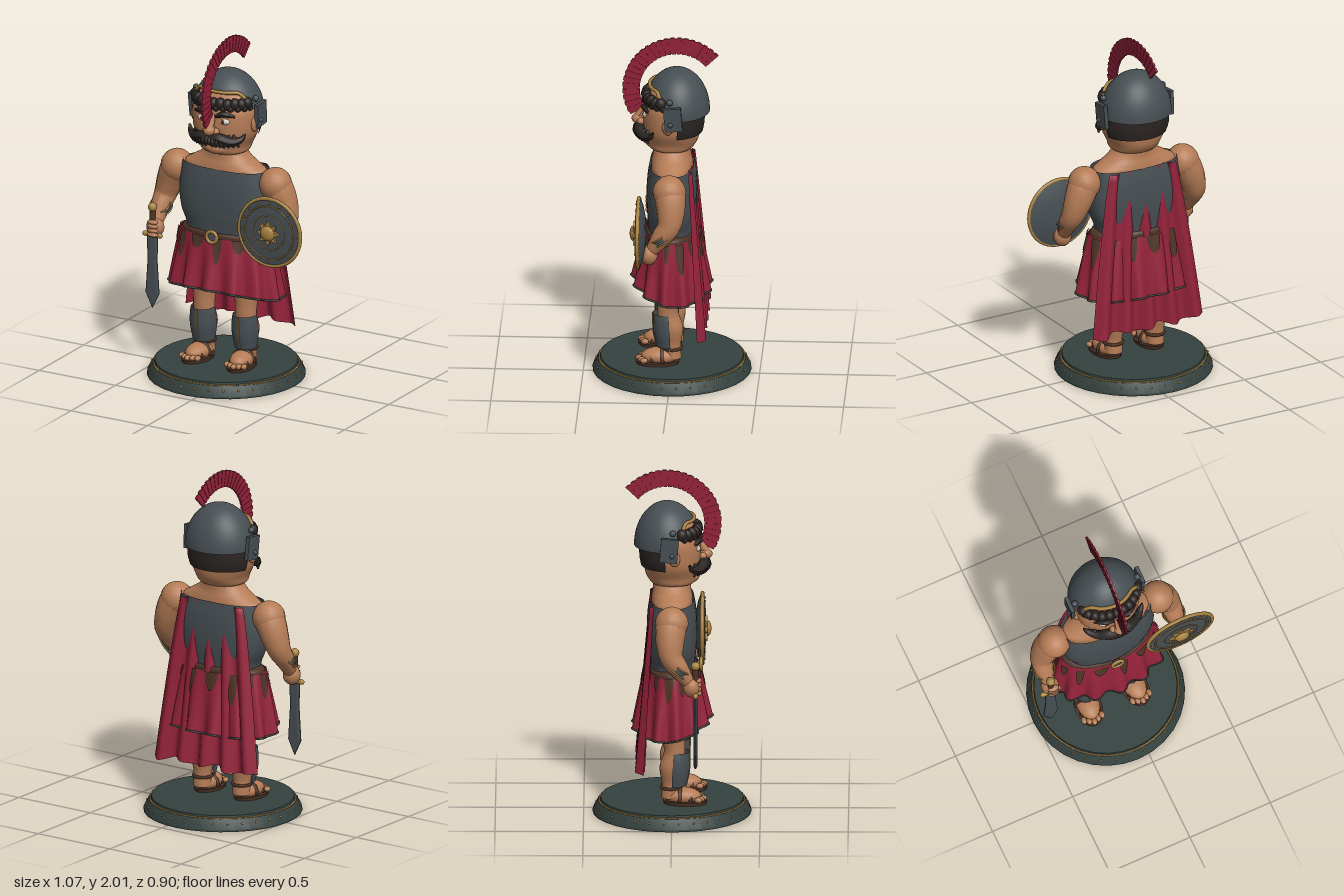
import * as THREE from 'three';
import { toCreasedNormals } from 'three/addons/utils/BufferGeometryUtils.js';
import { ParametricGeometry } from 'three/addons/geometries/ParametricGeometry.js';

const mat = (color) => new THREE.MeshStandardMaterial({ color, side: THREE.DoubleSide });
const skin = mat(0xb57c56), steel = mat(0x474f53), bronzeGreen = mat(0x35423f), red = mat(0x94223a),
  gold = mat(0xa98342), brown = mat(0x4d3326), hair = mat(0x2b2523), white = mat(0xd8d0c4);
const { sin, cos, PI, abs, sign, pow } = Math;
const lerp = THREE.MathUtils.lerp, V = (x, y, z) => new THREE.Vector3(x, y, z);
const smooth = THREE.MathUtils.smoothstep;

function add(parent, name, geo, material, x = 0, y = 0, z = 0) {
  const m = new THREE.Mesh(geo, material);
  m.name = name;
  m.position.set(x, y, z);
  parent.add(m);
  return m;
}
function ball(parent, name, material, r, x, y, z, sx = 1, sy = 1, sz = 1) {
  const m = add(parent, name, new THREE.SphereGeometry(r, 16, 12), material, x, y, z);
  m.scale.set(sx, sy, sz);
  return m;
}
const surface = (f, nu, nv) => new ParametricGeometry((u, v, t) => t.copy(f(u, v)), nu, nv);

// Upright loft through rings [y, halfWidth, halfDepth, zCentre]; angle 0 faces the front
function loft(rings, { a0 = -PI, a1 = PI, power = 2, nu = 40, nv = 28 } = {}) {
  const shape = new THREE.CatmullRomCurve3(rings.map((r) => V(r[1], r[0], r[2])));
  const shift = new THREE.CatmullRomCurve3(rings.map((r) => V(r[3] || 0, r[0], 0)));
  const bend = (c) => sign(c) * pow(abs(c), 2 / power);
  return surface((u, v) => {
    const a = lerp(a0, a1, u), p = shape.getPoint(v);
    return V(p.x * bend(sin(a)), p.y, p.z * bend(cos(a)) + shift.getPoint(v).x);
  }, nu, nv);
}
// Tube of changing radius through [x, y, z, r]
function limb(pts, seg = 28, sides = 16) {
  const curve = new THREE.CatmullRomCurve3(pts.map((p) => V(p[0], p[1], p[2])));
  const radii = new THREE.CatmullRomCurve3(pts.map((p) => V(p[3], 0, 0)));
  const geo = new THREE.TubeGeometry(curve, seg, 1, sides);
  const pos = geo.attributes.position, q = V();
  for (let i = 0; i < pos.count; i++) {
    const t = Math.floor(i / (sides + 1)) / seg, c = curve.getPointAt(t);
    q.fromBufferAttribute(pos, i).sub(c).multiplyScalar(radii.getPoint(curve.getUtoTmapping(t)).x).add(c);
    pos.setXYZ(i, q.x, q.y, q.z);
  }
  geo.computeVertexNormals();
  return geo;
}
const lathe = (pts, n) => toCreasedNormals(new THREE.LatheGeometry(pts.map((p) => new THREE.Vector2(...p)), n), 0.5);
const wire = (pts, r, closed = false) => new THREE.TubeGeometry(new THREE.CatmullRomCurve3(pts, closed), pts.length * 3, r, 6, closed);
const range = (n, f) => Array.from({ length: n }, (_, i) => f(i));

function buildBase(g) {
  add(g, 'base', lathe([[0, 0], [0.45, 0], [0.45, 0.012], [0.42, 0.068], [0.408, 0.072], [0.406, 0.085], [0, 0.085]], 32), bronzeGreen);
  add(g, 'baseTrim', new THREE.TorusGeometry(0.413, 0.005, 6, 64), gold, 0, 0.07, 0).rotation.x = PI / 2;
  for (let i = 0; i < 32; i++) {
    const a = (i + 0.5) * PI / 16;
    ball(g, 'baseRivet', gold, 0.006, 0.433 * sin(a), 0.042, 0.433 * cos(a));
  }
}

function buildLeg(g, s) {
  const leg = new THREE.Group();
  leg.name = s > 0 ? 'leftLeg' : 'rightLeg';
  leg.position.x = s * 0.137;
  g.add(leg);
  add(leg, 'legSkin', loft([[0.12, 0.052, 0.05, -0.01], [0.2, 0.052, 0.052, -0.005], [0.3, 0.07, 0.07, 0.0], [0.39, 0.062, 0.06, 0.015],
    [0.46, 0.066, 0.066, 0.01], [0.58, 0.085, 0.085, 0], [0.75, 0.1, 0.1, 0]], { nu: 24 }), skin);
  const greave = [[0.19, 0.064, 0.07, 0.012], [0.28, 0.078, 0.082, 0.018], [0.35, 0.076, 0.08, 0.022], [0.39, 0.068, 0.078, 0.025]];
  add(leg, 'greave', loft(greave, { a0: -1.75, a1: 1.75, nu: 24, nv: 12 }), steel);
  add(leg, 'greaveRidge', wire(greave.map((r) => V(0, r[0], r[2] + r[3])), 0.004), gold);
  // Sandalled foot
  const foot = new THREE.Group();
  foot.name = 'foot';
  foot.rotation.y = s * 0.08;
  leg.add(foot);
  const sole = add(foot, 'sole', new THREE.CylinderGeometry(0.078, 0.074, 0.02, 28), brown, 0, 0.096, 0.075);
  sole.scale.z = 1.62;
  ball(foot, 'instep', skin, 0.07, 0, 0.13, 0.06, 0.95, 0.7, 1.55);
  for (let i = -2; i <= 2; i++) ball(foot, 'toe', skin, 0.02, i * 0.027, 0.118, 0.178 - abs(i) * 0.012, 0.8, 0.8, 1.1);
  for (const [z, r] of [[0.05, 0.069], [0.11, 0.056]]) {
    const strap = add(foot, 'sandalStrap', new THREE.TorusGeometry(r, 0.008, 6, 20, PI), brown, 0, 0.11, z);
    strap.scale.set(1, z < 0.1 ? 1.05 : 0.95, 1.5);
  }
  add(foot, 'ankleStrap', new THREE.TorusGeometry(0.054, 0.009, 6, 24), brown, 0, 0.18, -0.007).rotation.x = PI / 2;
}

// Pleated skirt: v runs from the hem up to the waist
function skirtPoint(a, v, grow = 0) {
  const fold = 0.022 * (1 - v) * cos(13 * a + 0.7 * sin(2 * a));
  const pinch = v > 0.96 ? 0.75 : 1, w = pow(1 - v, 0.85);
  const hem = 0.53 + 0.028 * cos(a) - 0.03 * sin(a) ** 2 + fold * 0.3;
  return V((lerp(0.285, 0.345, w) + fold + grow) * pinch * sin(a), lerp(hem, 0.875, v),
    (lerp(0.15, 0.21, w) + fold + grow) * pinch * cos(a));
}
function buildTunic(g) {
  add(g, 'skirt', surface((u, v) => skirtPoint(u * 2 * PI, v), 156, 28), red);
  add(g, 'skirtHem', wire(range(104, (i) => skirtPoint(i * PI / 52, 0)), 0.006, true), bronzeGreen);
  // Belt with leather flaps of uneven length
  const waist = [[0.85, 0.275, 0.15], [0.868, 0.27, 0.15], [0.885, 0.235, 0.14]];
  add(g, 'belt', loft(waist, { nv: 6 }), brown);
  for (let i = 0; i < 14; i++) {
    const a = i * PI / 7 + 0.12, len = [0.45, 0.22, 0.36, 0.28][i % 4], half = [0.09, 0.15, 0.12][i % 3];
    add(g, 'beltFlap', surface((u, v) => skirtPoint(a + (2 * u - 1) * half * (1 - 0.75 * v * v), 0.95 - len * v, 0.007), 8, 8), brown);
  }
  add(g, 'buckle', new THREE.TorusGeometry(0.033, 0.01, 10, 28), gold, 0, 0.865, 0.165);
  const disc = add(g, 'buckleCentre', new THREE.CylinderGeometry(0.028, 0.028, 0.02, 20), steel, 0, 0.865, 0.155);
  disc.rotation.x = PI / 2;
  // Cape hanging from the shoulder blades
  add(g, 'cape', surface((u, v) => {
    const s = 2 * u - 1, d = 1 - v;
    return V(-s * lerp(0.215, 0.36, pow(d, 0.8)), lerp(0.3, 1.255, v) + 0.012 * d * sin(s * 9),
      -0.112 - 0.068 * d - (0.012 + 0.016 * d) * cos(s * 15));
  }, 80, 24), red);
}

function buildTorso(g) {
  add(g, 'cuirass', loft([[0.84, 0.235, 0.128], [0.9, 0.24, 0.132], [0.98, 0.272, 0.14], [1.08, 0.285, 0.143], [1.18, 0.276, 0.138],
    [1.26, 0.265, 0.125]], { power: 2.6 }), steel);
  add(g, 'shouldersAndNeck', loft([[1.2, 0.26, 0.115], [1.25, 0.262, 0.118], [1.28, 0.22, 0.115], [1.32, 0.155, 0.108],
    [1.36, 0.12, 0.108], [1.42, 0.12, 0.108]]), skin);
}

function buildArm(g, s) {
  const arm = new THREE.Group();
  arm.name = s > 0 ? 'leftArm' : 'rightArm';
  g.add(arm);
  ball(arm, 'shoulder', skin, 0.095, s * 0.322, 1.192, 0, 1, 1.02, 1);
  add(arm, 'armSkin', limb([[s * 0.28, 1.24, 0, 0.05], [s * 0.335, 1.17, -0.005, 0.088], [s * 0.372, 1.09, -0.01, 0.08], [s * 0.398, 1.01, 0.0, 0.066],
    [s * 0.405, 0.95, 0.04, 0.057], [s * 0.402, 0.89, 0.08, 0.043], [s * 0.4, 0.86, 0.1, 0.035]]), skin);
  ball(arm, 'fist', skin, 0.055, s * 0.4, 0.84, 0.112, 0.95, 1.05, 0.9);
  for (let i = 0; i < 4; i++) ball(arm, 'finger', skin, 0.018, s * 0.395, 0.805 + i * 0.025, 0.152, 1.9, 0.75, 1);
  const cuff = new THREE.Group();
  cuff.name = 'wristBand';
  cuff.position.set(s * 0.404, 0.945, 0.042);
  cuff.rotation.x = 0.65;
  arm.add(cuff);
  add(cuff, 'band', new THREE.CylinderGeometry(0.062, 0.06, 0.034, 24, 1, true), steel);
  for (const y of [-0.017, 0.017]) add(cuff, 'bandTrim', new THREE.TorusGeometry(0.061, 0.005, 6, 24), gold, 0, y).rotation.x = PI / 2;
}

function buildSword(g) {
  const sword = new THREE.Group();
  sword.name = 'sword';
  sword.position.set(-0.405, 0.8, 0.135);
  g.add(sword);
  const pts = [[-0.036, 0], [0.036, 0], [0.031, -0.15], [0.044, -0.35], [0, -0.44], [-0.044, -0.35], [-0.031, -0.15]];
  const blade = new THREE.ExtrudeGeometry(new THREE.Shape(pts.map((p) => new THREE.Vector2(...p))),
    { depth: 0.006, bevelThickness: 0.008, bevelSize: 0.012, bevelOffset: -0.012, bevelSegments: 1 });
  add(sword, 'blade', blade, steel, 0, 0, -0.003);
  add(sword, 'guard', new THREE.CapsuleGeometry(0.015, 0.1, 4, 12), gold).rotation.z = PI / 2;
  add(sword, 'grip', new THREE.CylinderGeometry(0.017, 0.017, 0.16, 12), brown, 0, 0.08, 0);
  ball(sword, 'pommel', gold, 0.026, 0, 0.165, 0);
}

function buildShield(g) {
  const shield = new THREE.Group();
  shield.name = 'shield';
  shield.position.set(0.385, 0.965, 0.165);
  shield.rotation.x = PI / 2;
  g.add(shield);
  add(shield, 'shieldPlate', lathe([[0.001, -0.038], [0.09, -0.033], [0.16, -0.018], [0.207, 0], [0.205, 0.012], [0.1, 0.02], [0.001, 0.024]], 48), steel);
  for (const [r, t, y] of [[0.2, 0.011, 0.006], [0.158, 0.004, 0.017], [0.102, 0.003, 0.021]])
    add(shield, 'shieldRing', new THREE.TorusGeometry(r, t, 8, 48), gold, 0, y).rotation.x = PI / 2;
  for (let i = 0; i < 16; i++) ball(shield, 'shieldRivet', gold, 0.006, 0.177 * sin(i * PI / 8), 0.018, 0.177 * cos(i * PI / 8));
  const star = range(16, (i) => new THREE.Vector2(sin(i * PI / 8), cos(i * PI / 8)).multiplyScalar(i % 2 ? 0.045 : 0.075));
  add(shield, 'shieldStar', new THREE.ExtrudeGeometry(new THREE.Shape(star), { depth: 0.012, bevelEnabled: false }), gold, 0, 0.034, 0).rotation.x = PI / 2;
  ball(shield, 'shieldBoss', gold, 0.045, 0, 0.034, 0, 1, 0.5, 1);
}

function buildHead(g) {
  const head = new THREE.Group();
  head.name = 'head';
  g.add(head);
  add(head, 'face', loft([[1.345, 0.09, 0.09, 0], [1.36, 0.138, 0.126, 0.005], [1.4, 0.152, 0.147, 0], [1.47, 0.185, 0.16, 0], [1.55, 0.195, 0.163, 0],
    [1.62, 0.193, 0.158, -0.005], [1.7, 0.15, 0.13, -0.02], [1.75, 0.03, 0.03, -0.02]], { power: 2.2 }), skin);
  add(head, 'backHair', loft([[1.455, 0.186, 0.162, -0.014], [1.5, 0.2, 0.168, -0.016], [1.59, 0.202, 0.17, -0.018]],
    { a0: PI * 0.54, a1: PI * 1.46, nv: 8 }), hair);
  ball(head, 'nose', skin, 0.036, 0, 1.515, 0.19, 0.95, 0.85, 1.1);
  add(head, 'noseBridge', limb([[0, 1.6, 0.15, 0.015], [0, 1.56, 0.172, 0.022], [0, 1.515, 0.2, 0.026]], 10, 10), skin);
  ball(head, 'chin', skin, 0.06, 0, 1.39, 0.11, 1.3, 0.65, 0.8);
  for (const s of [-1, 1]) {
    ball(head, 'nostril', skin, 0.022, s * 0.032, 1.508, 0.175);
    ball(head, 'eye', white, 0.03, s * 0.07, 1.566, 0.135, 1.2, 0.75, 0.9);
    ball(head, 'iris', brown, 0.013, s * 0.068, 1.566, 0.157, 1, 1, 0.5);
    add(head, 'eyebrow', limb([[s * 0.022, 1.592, 0.163, 0.009], [s * 0.07, 1.61, 0.156, 0.017], [s * 0.13, 1.597, 0.125, 0.007]], 12, 8), hair);
    ball(head, 'ear', skin, 0.04, s * 0.195, 1.535, 0.015, 0.5, 1.15, 0.8);
    // Curled moustache built from a core and hanging locks
    add(head, 'moustache', limb([[0, 1.475, 0.185, 0.026], [s * 0.06, 1.47, 0.18, 0.032], [s * 0.12, 1.452, 0.15, 0.028],
      [s * 0.165, 1.465, 0.115, 0.017], [s * 0.182, 1.495, 0.1, 0.006]], 20, 10), hair);
    for (let i = 0; i < 7; i++) {
      const x = s * (0.01 + i * 0.022), z = 0.205 - 0.0024 * i * i * 0.8;
      add(head, 'moustacheLock', limb([[x * 0.85, 1.488, z - 0.01, 0.007], [x, 1.455, z + 0.005, 0.014], [x + s * 0.014, 1.42, z - 0.012, 0.005]], 8, 7), hair);
    }
    // Hinged cheek guard
    const guard = add(head, 'cheekGuard', new THREE.BoxGeometry(0.022, 0.14, 0.1), steel, s * 0.216, 1.59, -0.015);
    guard.rotation.set(0.08, 0, s * -0.04);
    ball(head, 'helmetRivet', steel, 0.018, s * 0.195, 1.685, 0.005);
    ball(head, 'helmetRivet', steel, 0.014, s * 0.225, 1.56, 0.0);
  }
  // Fringe of curls under the brow
  for (let i = 0; i < 11; i++) {
    const a = (i - 5) * 0.235;
    ball(head, 'curl', hair, 0.031, 0.183 * sin(a), 1.668 - 0.004 * (i % 2), 0.145 * cos(a), 0.95, 1.1, 1);
    ball(head, 'curl', hair, 0.02, 0.187 * sin(a + 0.1), 1.64, 0.15 * cos(a + 0.1));
  }
}

function buildHelmet(g) {
  const helmet = new THREE.Group();
  helmet.name = 'helmet';
  g.add(helmet);
  // Dome cut high over the brow and low at the back
  const dome = (a, v, k = 1) => {
    const low = lerp(0.92, PI / 2, smooth(abs(a), 0.75, 1.6)), e = lerp(low, 0.002, v);
    return V(0.208 * k * sin(e) * sin(a), 1.572 + 0.25 * k * cos(e), -0.027 + 0.188 * k * sin(e) * cos(a));
  };
  add(helmet, 'helmetDome', surface((u, v) => dome(lerp(-PI, PI, u), v), 56, 20), steel);
  add(helmet, 'browBand', wire(range(21, (i) => dome((i - 10) * 0.105, 0, 1.03)), 0.011), gold);
  // Crest of overlapping bristle slats
  const n = 46;
  for (let i = 0; i < n; i++) {
    const a = lerp(-0.5, 2.38, i / (n - 1)), r = 0.262;
    const slat = add(helmet, 'crestSlat', new THREE.BoxGeometry(i % 2 ? 0.013 : 0.008, i % 2 ? 0.098 : 0.09, 0.021), red, 0, 1.695 + r * sin(a), -0.03 + r * cos(a));
    slat.rotation.x = PI / 2 - a;
  }
}

export function createModel() {
  const model = new THREE.Group();
  model.name = 'warriorFigurine';
  const g = new THREE.Group();
  g.name = 'figure';
  g.position.x = -0.065;
  model.add(g);
  buildBase(g);
  for (const s of [-1, 1]) {
    buildLeg(g, s);
    buildArm(g, s);
  }
  buildTunic(g);
  buildTorso(g);
  buildSword(g);
  buildShield(g);
  buildHead(g);
  buildHelmet(g);
  return model;
}
